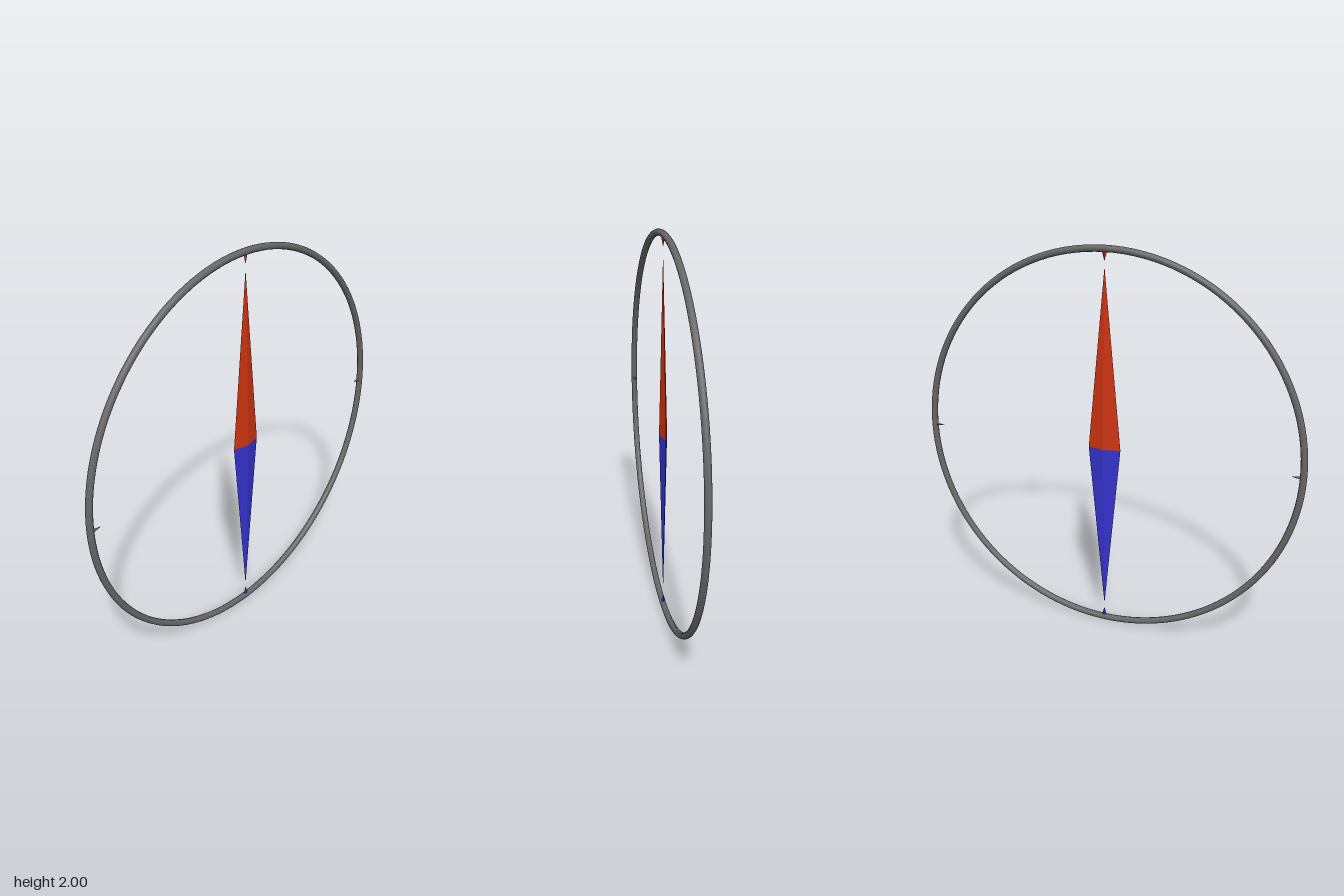
import * as THREE from 'three';

const material = (name, color) => {
  const m = new THREE.MeshStandardMaterial({ color });
  m.name = name;
  return m;
};

// Four-sided faceted spike pointing up from y = 0, with separate half width and half depth
function spike(halfWidth, length, halfDepth) {
  const g = new THREE.ConeGeometry(1, 1, 4, 1).toNonIndexed();
  g.translate(0, 0.5, 0);
  g.scale(halfWidth, length, halfDepth);
  g.computeVertexNormals();
  return g;
}

export function createModel() {
  const red = material('red', 0xcc3311);
  const blue = material('blue', 0x3333cc);
  const grey = material('grey', 0x666666);

  const model = new THREE.Group();
  model.name = 'compass';
  const dial = new THREE.Group();
  dial.name = 'dial';
  dial.position.y = 1;
  model.add(dial);

  const add = (name, geometry, mat, angle = 0) => {
    const mesh = new THREE.Mesh(geometry, mat);
    mesh.name = name;
    mesh.rotation.z = angle;
    dial.add(mesh);
  };

  // Outer ring
  add('ring', new THREE.TorusGeometry(0.983, 0.0165, 12, 128), grey);

  // Needle halves meeting at the centre
  add('northNeedle', spike(0.085, 0.9, 0.0205), red);
  add('southNeedle', spike(0.085, 0.9, 0.0205), blue, Math.PI);

  // Inward pointing marks on the ring
  const mark = (name, mat, angle, halfWidth, halfDepth) => {
    const g = spike(halfWidth, 0.058, halfDepth);
    g.rotateZ(Math.PI);
    g.translate(0, 0.983, 0);
    add(name, g, mat, angle);
  };
  mark('northMark', red, 0, 0.016, 0.012);
  mark('southMark', blue, Math.PI, 0.016, 0.012);
  mark('leftMark', grey, -Math.PI / 2, 0.01, 0.016);
  mark('rightMark', grey, Math.PI / 2, 0.01, 0.016);

  return model;
}
